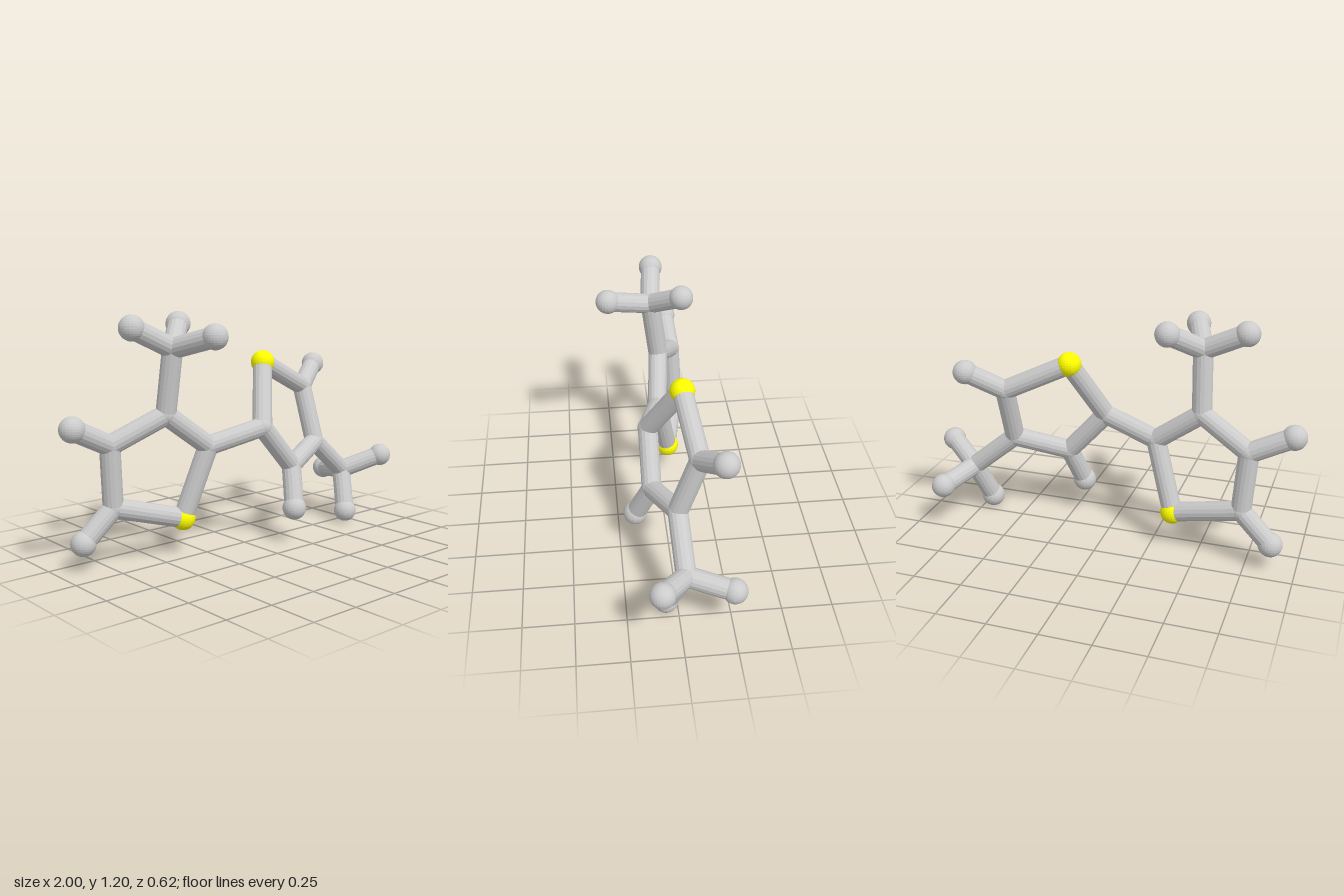
import * as THREE from 'three';

const BALL_R = 0.061, BOND_R = 0.05;

// Atom centres: carbon (C), sulphur (S) and hydrogen (H)
const atoms = {
  // left ring
  S1: [-0.355, 0.185, -0.055], C2: [-0.245, 0.545, 0.01], C3: [-0.48, 0.72, -0.015],
  C4: [-0.735, 0.59, -0.11], C5: [-0.715, 0.285, -0.125],
  H4: [-0.94, 0.69, -0.095], H5: [-0.87, 0.135, -0.145],
  // left methyl group
  C6: [-0.465, 1.035, 0.025], H6a: [-0.677, 1.138, 0.005],
  H6b: [-0.39, 1.098, 0.248], H6c: [-0.323, 1.138, -0.12],
  // right ring
  S7: [0.185, 0.922, -0.07], C8: [0.045, 0.615, 0.085], C9: [0.25, 0.388, 0.085],
  C10: [0.518, 0.47, -0.015], C11: [0.518, 0.765, -0.115],
  H9: [0.195, 0.185, 0.167], H11: [0.69, 0.872, -0.205],
  // right methyl group
  C12: [0.755, 0.275, -0.03], H12a: [0.936, 0.355, 0.097],
  H12b: [0.697, 0.062, 0.058], H12c: [0.835, 0.24, -0.248],
};

const bonds = [
  'S1 C2', 'C2 C3', 'C3 C4', 'C4 C5', 'C5 S1', 'C4 H4', 'C5 H5',
  'C3 C6', 'C6 H6a', 'C6 H6b', 'C6 H6c', 'C2 C8',
  'S7 C8', 'C8 C9', 'C9 C10', 'C10 C11', 'C11 S7', 'C9 H9', 'C11 H11',
  'C10 C12', 'C12 H12a', 'C12 H12b', 'C12 H12c',
];

export function createModel() {
  const model = new THREE.Group();
  model.name = 'molecule';
  const grey = new THREE.MeshStandardMaterial({ color: 0xcccccc, flatShading: true });
  const yellow = new THREE.MeshStandardMaterial({ color: 0xffff00, flatShading: true });
  const ball = new THREE.SphereGeometry(BALL_R, 24, 16);
  const joint = new THREE.SphereGeometry(BOND_R * 1.03, 24, 16);
  const rod = new THREE.CylinderGeometry(BOND_R, BOND_R, 1, 16);
  const up = new THREE.Vector3(0, 1, 0);

  // Balls: large for hydrogen and sulphur, bond-sized joints for carbon
  const kinds = { C: 'carbonJoint', S: 'sulphurBall', H: 'hydrogenBall' };
  for (const [id, p] of Object.entries(atoms)) {
    const mesh = new THREE.Mesh(id[0] === 'C' ? joint : ball, id[0] === 'S' ? yellow : grey);
    mesh.name = kinds[id[0]] + id.slice(1);
    mesh.position.set(...p);
    model.add(mesh);
  }

  // Rods joining the atom centres
  for (const bond of bonds) {
    const [a, b] = bond.split(' ').map((id) => new THREE.Vector3(...atoms[id]));
    const dir = b.clone().sub(a);
    const mesh = new THREE.Mesh(rod, grey);
    mesh.name = 'bond ' + bond;
    mesh.position.copy(a).lerp(b, 0.5);
    mesh.scale.y = dir.length();
    mesh.quaternion.setFromUnitVectors(up, dir.normalize());
    model.add(mesh);
  }
  return model;
}
